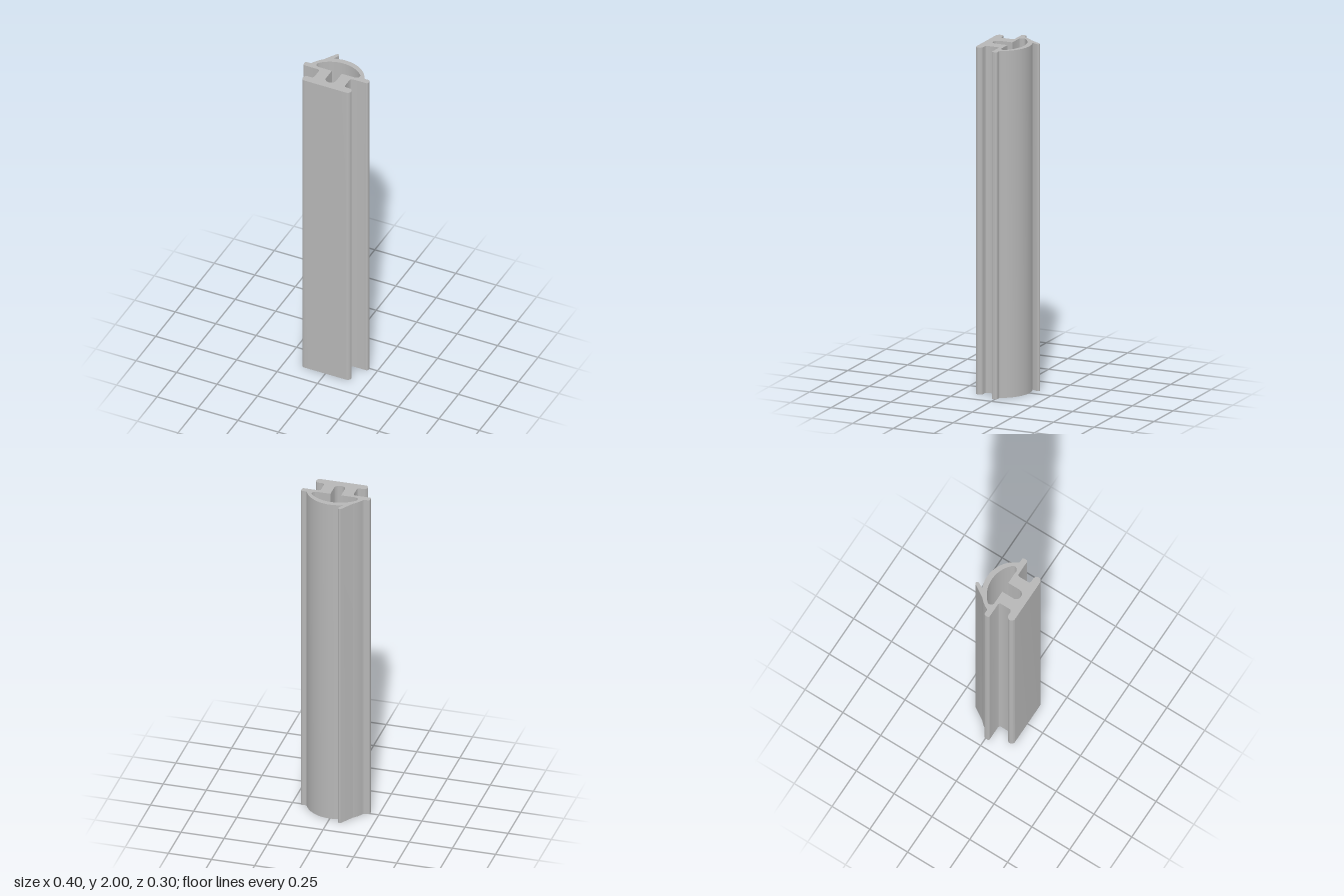
import * as THREE from 'three';
import { toCreasedNormals } from 'three/addons/utils/BufferGeometryUtils.js';

const PI = Math.PI;

// Cross-section, drawn with shape y pointing to the back of the model
function sealProfile() {
  const s = new THREE.Shape();
  const domeY = -0.0646, domeR = 0.1816;
  const foot = Math.atan2(0.0866, 0.1732); // where the dome meets its fillets

  // right half: rounded base, neck fillets, flange, dome fillet
  s.absarc(0.128, -0.128, 0.022, -PI / 2, PI / 2, false);
  s.absarc(0.109, -0.092, 0.014, -PI / 2, -PI, true);
  s.absarc(0.109, -0.037, 0.014, PI, PI / 2, true);
  s.absarc(0.19, -0.013, 0.01, -PI / 2, 0, false);
  s.absarc(0.19, 0, 0.01, 0, PI / 2, false);
  s.absarc(0.1732, 0.022, 0.012, -PI / 2, foot - PI, true);

  // dome, interrupted by the slanted lip with its round tip
  s.absarc(0, domeY, domeR, foot, Math.acos(-0.074 / domeR), false);
  s.absarc(-0.066, 0.14, 0.0107, -0.5, PI - 0.5, false);
  s.absarc(0, domeY, domeR, Math.acos(-0.12 / domeR), PI - foot, false);

  // left half, mirrored
  s.absarc(-0.1732, 0.022, 0.012, -foot, -PI / 2, true);
  s.absarc(-0.19, 0, 0.01, PI / 2, PI, false);
  s.absarc(-0.19, -0.013, 0.01, PI, 1.5 * PI, false);
  s.absarc(-0.109, -0.037, 0.014, PI / 2, 0, true);
  s.absarc(-0.109, -0.092, 0.014, 0, -PI / 2, true);
  s.absarc(-0.128, -0.128, 0.022, PI / 2, 1.5 * PI, false);

  // hollow chamber under the dome with the round-bottomed slot
  const h = new THREE.Path();
  h.absarc(0, -0.075, 0.031, PI, 2 * PI, false);
  h.lineTo(0.031, -0.0027);
  h.absarc(0.111, 0.0188, 0.0215, -PI / 2, PI / 4, false);
  h.absarc(0, -0.0927, 0.1787, PI / 4, 0.75 * PI, false);
  h.absarc(-0.111, 0.0188, 0.0215, 0.75 * PI, 1.5 * PI, false);
  h.lineTo(-0.031, -0.0027);
  s.holes.push(h);
  return s;
}

export function createModel() {
  const group = new THREE.Group();
  group.name = 'sealStrip';
  const rubber = new THREE.MeshStandardMaterial({ color: 0xb6b6b6 });
  rubber.name = 'greyRubber';

  // one straight extrusion, stood upright
  const geo = new THREE.ExtrudeGeometry(sealProfile(), {
    depth: 2, bevelEnabled: false, curveSegments: 12,
  });
  geo.rotateX(-PI / 2);
  const strip = new THREE.Mesh(toCreasedNormals(geo, 0.45), rubber);
  strip.name = 'extrudedProfile';
  group.add(strip);
  return group;
}
